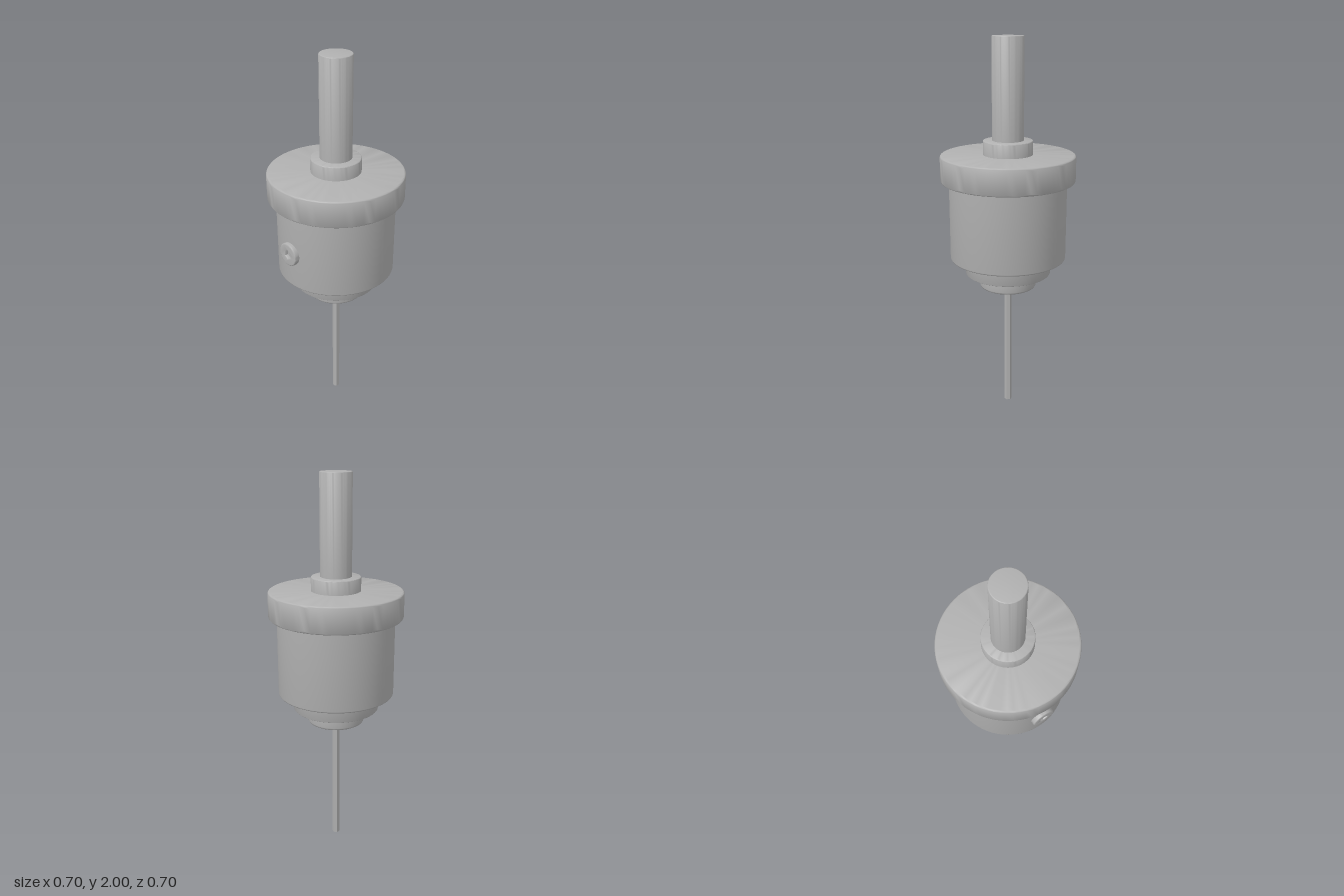
import * as THREE from 'three';
import { toCreasedNormals } from 'three/addons/utils/BufferGeometryUtils.js';

const steel = new THREE.MeshStandardMaterial({ color: 0xb0b0b0 });
steel.name = 'steel grey';

// Solid turned disc from y0 to y1 with rounded bottom and top rims
function turned(name, radius, y0, y1, bottomFillet, topFillet) {
  const profile = [new THREE.Vector2(0, y0)];
  const rim = (fillet, y, from) => {
    if (!fillet) {
      profile.push(new THREE.Vector2(radius, y));
      return;
    }
    for (let i = 0; i <= 4; i++) {
      const a = from + (i / 4) * Math.PI / 2;
      profile.push(new THREE.Vector2(radius - fillet + fillet * Math.cos(a), y + fillet * Math.sin(a)));
    }
  };
  rim(bottomFillet, y0 + bottomFillet, -Math.PI / 2);
  rim(topFillet, y1 - topFillet, 0);
  profile.push(new THREE.Vector2(0, y1));
  const mesh = new THREE.Mesh(toCreasedNormals(new THREE.LatheGeometry(profile, 72), 0.6), steel);
  mesh.name = name;
  return mesh;
}

// Round screw head with a hexagonal socket, facing +z
function setScrew() {
  const screw = new THREE.Group();
  screw.name = 'setScrew';
  const hexagon = Array.from({ length: 6 }, (_, i) => {
    const a = Math.PI / 2 + i * Math.PI / 3;
    return new THREE.Vector2(0.029 * Math.cos(a), 0.029 * Math.sin(a));
  });
  const bevel = 0.006;
  const face = new THREE.Shape().absarc(0, 0, 0.061 - bevel, 0, Math.PI * 2);
  face.holes.push(new THREE.Path(hexagon.slice().reverse()));
  const head = new THREE.Mesh(toCreasedNormals(new THREE.ExtrudeGeometry(face, {
    depth: 0.035, curveSegments: 24, bevelThickness: bevel, bevelSize: bevel, bevelSegments: 3,
  }), 0.6), steel);
  head.name = 'screwHead';
  head.position.z = 0.284;
  const floor = new THREE.Mesh(new THREE.ShapeGeometry(new THREE.Shape(hexagon)), steel);
  floor.name = 'socketFloor';
  floor.position.z = 0.307;
  screw.add(head, floor);
  screw.position.y = 1.055;
  return screw;
}

export function createModel() {
  const model = new THREE.Group();
  model.name = 'toolHolder';

  // Stacked turned parts, top to bottom
  model.add(
    turned('shank', 0.081, 1.46, 2, 0, 0.005),
    turned('collar', 0.128, 1.4, 1.489, 0, 0.006),
    turned('flange', 0.348, 1.278, 1.417, 0.012, 0.012),
    turned('body', 0.305, 0.864, 1.3, 0.008, 0),
    turned('lowerStep', 0.226, 0.778, 0.88, 0.004, 0),
    turned('nose', 0.15, 0.7, 0.79, 0.012, 0.012),
  );

  // Slim six-sided bit
  const bitGeometry = new THREE.CylinderGeometry(0.02, 0.02, 0.71, 6).toNonIndexed();
  bitGeometry.computeVertexNormals();
  const bit = new THREE.Mesh(bitGeometry, steel);
  bit.name = 'bit';
  bit.position.y = 0.355;
  model.add(bit, setScrew());

  return model;
}
